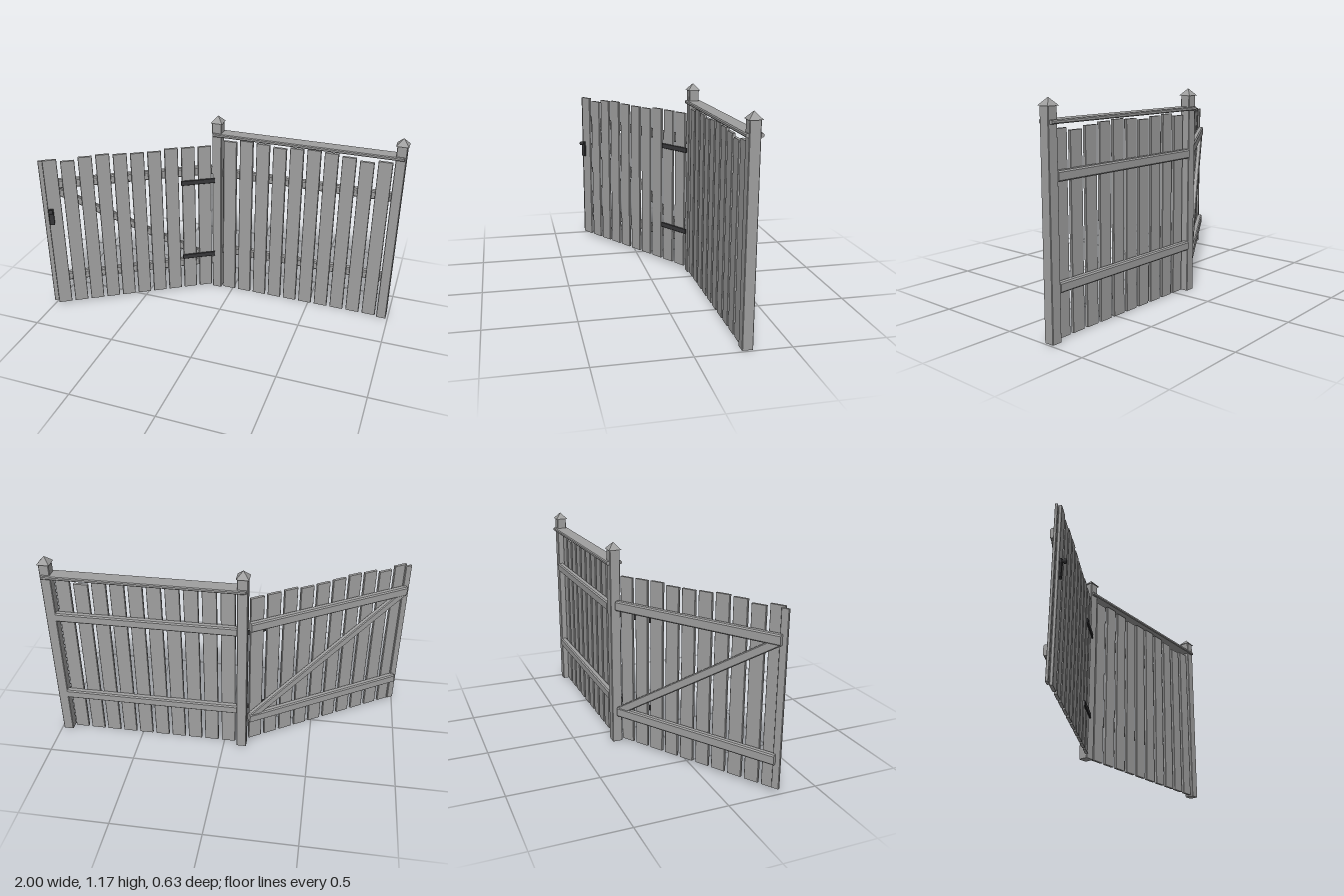
import * as THREE from 'three';

const wood = new THREE.MeshStandardMaterial({ color: 0xa0a0a0 });
wood.name = 'weathered grey wood';
const iron = new THREE.MeshStandardMaterial({ color: 0x38383a });
iron.name = 'dark iron';

// Timber with a chamfered w x d section, running along the x or y axis, centred on its origin
function timber(axis, length, w, d, chamfer) {
  const a = w / 2, b = d / 2, c = chamfer;
  const section = new THREE.Shape([
    [-a + c, -b], [a - c, -b], [a, -b + c], [a, b - c],
    [a - c, b], [-a + c, b], [-a, b - c], [-a, -b + c],
  ].map(([x, y]) => new THREE.Vector2(x, y)));
  const geo = new THREE.ExtrudeGeometry(section, { depth: length, bevelEnabled: false });
  geo.translate(0, 0, -length / 2);
  return axis === 'x' ? geo.rotateY(Math.PI / 2) : geo.rotateX(-Math.PI / 2);
}

function add(parent, name, geo, mat, x, y, z) {
  const mesh = new THREE.Mesh(geo, mat);
  mesh.name = name;
  mesh.position.set(x, y, z);
  parent.add(mesh);
  return mesh;
}

// Horizontal beam between x0 and x1
function rail(parent, name, x0, x1, y, z, depth, height, chamfer) {
  return add(parent, name, timber('x', x1 - x0, depth, height, chamfer), wood, (x0 + x1) / 2, y, z);
}

// Upright board between y0 and y1
function board(parent, name, x, y0, y1, z, width, depth, chamfer) {
  return add(parent, name, timber('y', y1 - y0, width, depth, chamfer), wood, x, (y0 + y1) / 2, z);
}

function createFence() {
  const fence = new THREE.Group();
  fence.name = 'fencePanel';

  // Posts with pyramid caps
  for (const x of [-0.105, 0.96]) {
    board(fence, 'post', x, 0, 1.13, -0.271, 0.057, 0.057, 0.003);
    const cap = new THREE.ConeGeometry(0.035 * Math.SQRT2, 0.039, 4).rotateY(Math.PI / 4).toNonIndexed();
    cap.computeVertexNormals();
    add(fence, 'postCap', cap, wood, x, 1.147, -0.271);
  }

  // Pickets of slightly uneven height
  const tops = [1.02, 1.035, 1.03, 1.02, 1.03, 1.035, 1.03, 1.02, 1.006, 1.02];
  tops.forEach((top, i) => board(fence, 'fencePicket', -0.024 + i * 0.1005, 0.004, top, -0.259, 0.08, 0.017, 0.002));

  // Back rails and the flat capping rail
  for (const y of [0.27, 0.803]) rail(fence, 'fenceRail', -0.078, 0.933, y, -0.286, 0.038, 0.052, 0.007);
  rail(fence, 'cappingRail', -0.125, 0.98, 1.056, -0.2725, 0.087, 0.02, 0.005);
  return fence;
}

function createGate() {
  const gate = new THREE.Group();
  gate.name = 'gate';

  // Pickets, from the hinge side to the latch side
  const tops = [0.985, 0.987, 0.989, 0.979, 0.98, 0.983, 0.99, 0.985, 0.969, 0.984];
  tops.forEach((top, i) => board(gate, 'gatePicket', -0.08 - i * 0.1, 0.021, top, 0, 0.08, 0.016, 0.002));

  // Stop batten on the latch edge
  board(gate, 'stopBatten', -1.025, 0.03, 0.977, -0.015, 0.04, 0.014, 0.002);

  // Rails and diagonal brace behind the pickets
  const ys = [0.193, 0.822];
  for (const y of ys) rail(gate, 'gateRail', -1.02, -0.03, y, -0.026, 0.036, 0.056, 0.007);
  const run = 0.95, rise = 0.6;
  const brace = rail(gate, 'gateBrace', -1.0, -1.0 + Math.hypot(run, rise), 0, -0.025, 0.03, 0.045, 0.005);
  brace.position.set(-0.525, (ys[0] + ys[1]) / 2, -0.025);
  brace.rotation.z = -Math.atan2(rise, run);

  // Hinge straps
  for (const y of [0.251, 0.763]) {
    add(gate, 'hingeStrap', timber('x', 0.205, 0.01, 0.03, 0.002), iron, -0.123, y, 0.012);
  }

  // Latch plate and knob
  add(gate, 'latchPlate', timber('y', 0.1, 0.03, 0.013, 0.002), iron, -1.003, 0.627, 0.0135);
  const knob = new THREE.LatheGeometry([
    [0, 0], [0.009, 0], [0.009, 0.01], [0.013, 0.013], [0.013, 0.021], [0.01, 0.026], [0, 0.027],
  ].map(([r, h]) => new THREE.Vector2(r, h)), 16).rotateX(Math.PI / 2);
  add(gate, 'latchKnob', knob, iron, -1.005, 0.667, 0.016);

  // Swung open around the hinge post
  gate.position.set(-0.106, 0, -0.26);
  gate.rotation.y = 0.56;
  return gate;
}

export function createModel() {
  const model = new THREE.Group();
  model.name = 'fenceWithGate';
  model.add(createFence(), createGate());
  return model;
}
